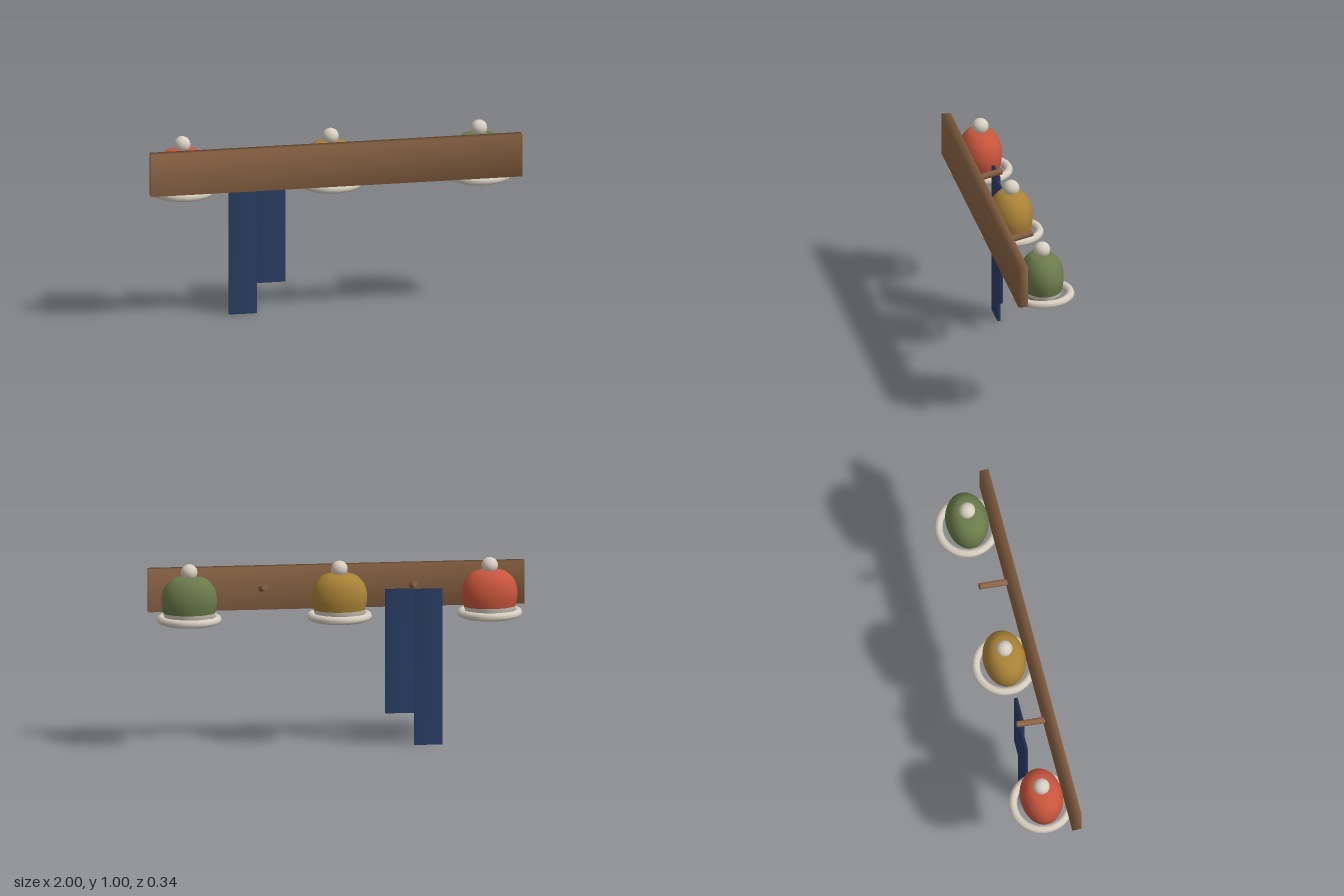
import * as THREE from 'three';
import { mergeVertices } from 'three/addons/utils/BufferGeometryUtils.js';

const material = (name, color) => {
  const m = new THREE.MeshStandardMaterial({ color });
  m.name = name;
  return m;
};

// Box with shared corners, giving softly blended shading
function softBox(x0, x1, y0, y1, z0, z1) {
  const box = new THREE.BoxGeometry(x1 - x0, y1 - y0, z1 - z0);
  box.deleteAttribute('normal');
  box.deleteAttribute('uv');
  const g = mergeVertices(box);
  g.computeVertexNormals();
  g.translate((x0 + x1) / 2, (y0 + y1) / 2, (z0 + z1) / 2);
  return g;
}

function add(parent, name, geometry, mat) {
  const mesh = new THREE.Mesh(geometry, mat);
  mesh.name = name;
  parent.add(mesh);
  return mesh;
}

export function createModel() {
  const wood = material('wood', 0x8b6444);
  const cream = material('cream wool', 0xd8cfc0);
  const navy = material('navy cloth', 0x2b3f66);
  const red = material('red wool', 0xc8553d);
  const gold = material('gold wool', 0xa98236);
  const green = material('green wool', 0x6a7b4b);

  const rack = new THREE.Group();
  rack.name = 'coatRack';

  // Wall rail
  add(rack, 'rail', softBox(-1, 1, 0.72, 0.95, 0.118, 0.168), wood);

  // Pegs, rising slightly away from the rail
  const base = new THREE.Vector3(0, 0.83, 0.13);
  const tip = new THREE.Vector3(0, 0.868, -0.033);
  const axis = tip.clone().sub(base);
  for (const x of [-0.4, 0.4]) {
    const peg = add(rack, 'peg', new THREE.CylinderGeometry(0.017, 0.017, axis.length(), 12), wood);
    peg.position.copy(base).add(tip).multiplyScalar(0.5).setX(x);
    peg.quaternion.setFromUnitVectors(new THREE.Vector3(0, 1, 0), axis.clone().normalize());
  }

  // Hats: oval crown, lower band, brim ring and pompom
  const crownCurve = new THREE.SplineCurve([
    [0, 0.67], [0.055, 0.675], [0.085, 0.692], [0.1, 0.72], [0.109, 0.76],
    [0.113, 0.81], [0.101, 0.87], [0.072, 0.913], [0.04, 0.927], [0, 0.93],
  ].map(([r, y]) => new THREE.Vector2(r, y)));
  const profile = crownCurve.getPoints(27);
  profile[0].x = profile[27].x = 0;
  const crownGeometry = new THREE.LatheGeometry(profile, 32);
  const bandGeometry = new THREE.LatheGeometry(
    [[0.099, 0.712], [0.1025, 0.722], [0.1055, 0.736]].map(([r, y]) => new THREE.Vector2(r, y)), 32);
  for (const g of [crownGeometry, bandGeometry]) g.scale(1.31, 1, 1);
  const brimGeometry = new THREE.TorusGeometry(0.15, 0.022, 8, 36);
  brimGeometry.rotateX(Math.PI / 2);

  [[-0.8, red], [0, gold], [0.8, green]].forEach(([x, wool]) => {
    const hat = new THREE.Group();
    hat.name = 'hat';
    hat.position.x = x;
    add(hat, 'crown', crownGeometry, wool);
    add(hat, 'band', bandGeometry, cream);
    add(hat, 'brim', brimGeometry, cream).position.y = 0.7;
    add(hat, 'pompom', new THREE.SphereGeometry(0.044, 20, 14), cream).position.y = 0.952;
    rack.add(hat);
  });

  // Scarf hanging over the right peg in two lengths
  const scarf = new THREE.Group();
  scarf.name = 'scarf';
  add(scarf, 'longTail', softBox(-0.545, -0.396, 0, 0.836, -0.025, -0.007), navy);
  add(scarf, 'shortTail', softBox(-0.396, -0.244, 0.17, 0.836, -0.007, 0.011), navy);
  rack.add(scarf);

  return rack;
}
